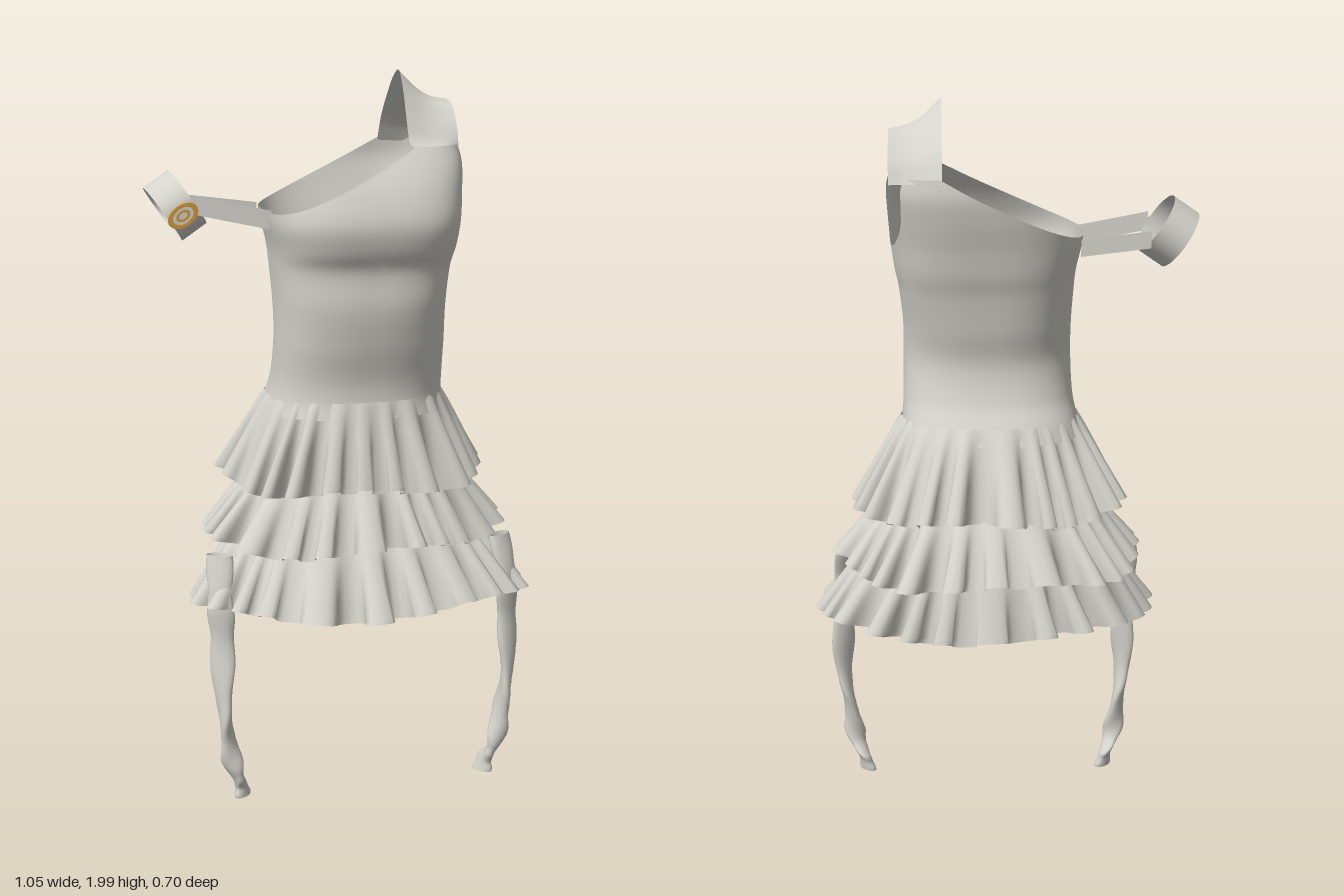
import * as THREE from 'three';

const fabric = new THREE.MeshStandardMaterial({ color: 0xd4d3cb, side: THREE.DoubleSide });
fabric.name = 'pale grey fabric';
const gold = new THREE.MeshStandardMaterial({ color: 0xd09a3c });
gold.name = 'gold metal';

const { lerp, clamp, smoothstep } = THREE.MathUtils;

// Smooth surface from a rule fn(u, v) -> [x, y, z]; closed wraps around in u
function surface(name, nu, nv, closed, fn) {
  const pos = [], idx = [], cols = closed ? nu : nu + 1;
  for (let j = 0; j <= nv; j++)
    for (let i = 0; i < cols; i++) pos.push(...fn(i / nu, j / nv));
  for (let j = 0; j < nv; j++)
    for (let i = 0; i < nu; i++) {
      const a = j * cols + i, b = j * cols + (i + 1) % cols, c = a + cols, d = b + cols;
      idx.push(a, c, b, b, c, d);
    }
  const g = new THREE.BufferGeometry();
  g.setAttribute('position', new THREE.Float32BufferAttribute(pos, 3));
  g.setIndex(idx);
  g.computeVertexNormals();
  const m = new THREE.Mesh(g, fabric);
  m.name = name;
  return m;
}

// Rounded horizontal section: s = [y, right x, left x, front z, back z]
function around(s, a, n, off = 0) {
  const p = (t) => Math.sign(t) * Math.abs(t) ** (2 / n);
  const c = p(Math.cos(a)), d = p(Math.sin(a));
  return [(s[1] + s[2]) / 2 + c * ((s[2] - s[1]) / 2 + off), s[0],
    (s[3] + s[4]) / 2 + d * ((s[3] - s[4]) / 2 + off)];
}

// Section at height y, smoothly interpolated between the listed ones
function sectionAt(list, y) {
  let k = 0;
  while (k < list.length - 2 && y > list[k + 1][0]) k++;
  const at = (i) => list[clamp(i, 0, list.length - 1)];
  const A = at(k - 1), B = at(k), C = at(k + 1), D = at(k + 2);
  const h = C[0] - B[0], t = clamp((y - B[0]) / h, 0, 1);
  return B.map((b, i) => {
    if (i === 0) return y;
    const m0 = (C[i] - A[i]) / (C[0] - A[0]) * h, m1 = (D[i] - b) / (D[0] - B[0]) * h;
    const t2 = t * t, t3 = t2 * t;
    return (2 * t3 - 3 * t2 + 1) * b + (t3 - 2 * t2 + t) * m0 + (3 * t2 - 2 * t3) * C[i] + (t3 - t2) * m1;
  });
}

const BODICE = [
  [1.10, -0.23, 0.275, 0.225, -0.185],
  [1.14, -0.217, 0.265, 0.217, -0.165],
  [1.20, -0.205, 0.262, 0.22, -0.13],
  [1.30, -0.20, 0.26, 0.245, -0.11],
  [1.40, -0.20, 0.26, 0.262, -0.13],
  [1.50, -0.205, 0.27, 0.262, -0.15],
  [1.55, -0.21, 0.28, 0.285, -0.165],
  [1.62, -0.225, 0.29, 0.298, -0.18],
  [1.70, -0.23, 0.30, 0.272, -0.20],
  [1.76, -0.23, 0.308, 0.235, -0.21],
  [1.81, -0.225, 0.305, 0.195, -0.205],
];
const LINING = [
  [0.60, -0.36, 0.42, 0.25, -0.19],
  [0.77, -0.28, 0.35, 0.18, -0.18],
  [0.93, -0.23, 0.29, 0.18, -0.19],
  [1.12, -0.205, 0.255, 0.20, -0.155],
];

// The bodice is oval at the waist and squarer at the chest
const bodicePoint = (a, y) => around(sectionAt(BODICE, y), a, lerp(2.4, 3.1, smoothstep(y, 1.3, 1.6)));

// Slanted neckline, cut short where the armhole opens on the model's left
function bodiceTop(a) {
  const t = clamp((bodicePoint(a, 1.72)[0] + 0.22) / 0.37, 0, 1);
  const neck = 1.645 + 0.165 * t ** 1.25;
  for (let y = 1.62; y < neck; y += 0.002) {
    const [x, , z] = bodicePoint(a, y);
    const half = 0.14 * (1 - (1 - (y - 1.62) / 0.19) ** 2) ** 0.42;
    if (x > 0.15 && Math.abs(z + 0.025) < half) return y;
  }
  return neck;
}

// Ruffled skirt tier between a gathered top section and a flared hem
function tier(name, top, hem, seed) {
  const N = 23;
  return surface(name, N * 12, 14, true, (u, v) => {
    const a = u * Math.PI * 2, s = 1 - v;
    const phi = N * a + 1.3 * Math.sin(3 * a + seed) + 0.9 * Math.sin(7 * a + 2 * seed);
    const amp = (0.029 + 0.013 * Math.sin(5 * a + seed * 3)) * (0.08 + 0.92 * s ** 1.25);
    const sec = hem.map((h, i) => lerp(h, top[i], i ? 1 - s ** 0.9 : v));
    const p = around(sec, a + (0.6 / N) * Math.sin(2 * phi) * s, 2.2, amp * Math.cos(phi));
    p[1] += s * (0.01 * Math.cos(phi) + 0.012 * Math.sin(4 * a + seed));
    return p;
  });
}

// Crumpled ribbon hanging along a path
function ribbon(name, pts, twist) {
  const path = new THREE.CatmullRomCurve3(pts.map((p) => new THREE.Vector3(...p)));
  return surface(name, 14, 70, true, (u, v) => {
    const c = path.getPoint(v), a = u * Math.PI * 2;
    const r = twist * (0.5 + smoothstep(v, 0.3, 1) * 5);
    const w = lerp(0.037, 0.028, smoothstep(v, 0.2, 0.7)) + 0.003 * Math.sin(v * 40);
    const p = Math.cos(a) * w, q = Math.sin(a) * 0.017;
    return [c.x + p * Math.cos(r) - q * Math.sin(r), c.y, c.z + p * Math.sin(r) + q * Math.cos(r)];
  });
}

// Flat oval ring or disc in the xy plane
function oval(name, rx, ry, hole, depth, mat) {
  const s = new THREE.Shape().absellipse(0, 0, rx, ry, 0, Math.PI * 2);
  if (hole) s.holes.push(new THREE.Path().absellipse(0, 0, rx * hole, ry * hole, 0, Math.PI * 2));
  const m = new THREE.Mesh(new THREE.ExtrudeGeometry(s, { depth, bevelEnabled: false, curveSegments: 24 }), mat);
  m.name = name;
  return m;
}

export function createModel() {
  const model = new THREE.Group();
  model.name = 'dress';

  model.add(surface('bodice', 240, 48, true, (u, v) => {
    const a = u * Math.PI * 2;
    return bodicePoint(a, lerp(1.1, bodiceTop(a), v));
  }));
  model.add(surface('lining', 72, 16, true, (u, v) =>
    around(sectionAt(LINING, lerp(0.6, 1.12, v)), u * Math.PI * 2, 2.2)));

  // Three ruffled tiers
  model.add(
    tier('upperTier', [1.145, -0.217, 0.267, 0.22, -0.168], [0.9, -0.32, 0.375, 0.265, -0.275], 1),
    tier('middleTier', [0.93, -0.25, 0.31, 0.20, -0.22], [0.74, -0.375, 0.43, 0.28, -0.32], 2.3),
    tier('lowerTier', [0.77, -0.30, 0.37, 0.20, -0.20], [0.57, -0.415, 0.495, 0.315, -0.25], 4.1),
  );

  // Shoulder strap: a band between an inner and an outer arch
  const arch = (x, pts) => new THREE.CatmullRomCurve3(pts.map(([z, y]) => new THREE.Vector3(x, y, z)));
  const inner = arch(0.15, [[0.195, 1.805], [0.135, 1.82], [0.1, 1.88], [0.06, 1.96], [0.02, 2.0],
    [-0.03, 1.985], [-0.1, 1.93], [-0.16, 1.87], [-0.203, 1.8]]);
  const outer = arch(0.288, [[0.12, 1.8], [0.115, 1.83], [0.095, 1.87], [0.055, 1.91], [0.0, 1.922],
    [-0.07, 1.915], [-0.12, 1.885], [-0.15, 1.85], [-0.168, 1.795]]);
  model.add(surface('shoulderStrap', 40, 8, false, (u, v) => {
    const p = inner.getPoint(u).lerp(outer.getPoint(u), v);
    p.y -= 0.02 * Math.sin(v * Math.PI) * Math.sin(u * Math.PI);
    return p.toArray();
  }));

  // Tilted arm cuff with an oval buckle
  const cuff = new THREE.Group();
  cuff.name = 'armCuff';
  cuff.position.set(-0.45, 1.652, -0.025);
  cuff.rotation.z = 0.6;
  cuff.add(surface('cuffBand', 56, 4, true, (u, v) => {
    const a = u * Math.PI * 2;
    return [lerp(0.04, -0.04, v), Math.cos(a) * 0.085, Math.sin(a) * 0.115];
  }));
  const buckle = new THREE.Group();
  buckle.name = 'buckle';
  buckle.position.set(-0.004, -0.012, 0.124);
  buckle.add(oval('buckleRing', 0.043, 0.028, 0.7, 0.012, gold),
    oval('buckleCentre', 0.031, 0.0203, 0, 0.007, fabric),
    oval('buckleInnerRing', 0.02, 0.013, 0.62, 0.01, gold));
  cuff.add(buckle);
  model.add(cuff);

  // Ribbons joining the cuff to the bodice
  const band = (name, a, b, h) => surface(name, 12, 2, false, (u, v) => [
    lerp(a[0], b[0], u), lerp(a[1], b[1], u) + (v - 0.5) * h, lerp(a[2], b[2], u)]);
  model.add(band('frontCuffStrap', [-0.41, 1.663, 0.085], [-0.215, 1.622, 0.11], 0.05),
    band('backCuffStrap', [-0.395, 1.645, -0.13], [-0.212, 1.622, -0.12], 0.045));

  // Long ribbons hanging from the skirt sides
  model.add(
    ribbon('rightRibbon', [[-0.37, 0.72, 0.12], [-0.375, 0.6, 0.145], [-0.37, 0.48, 0.14], [-0.372, 0.33, 0.15],
      [-0.36, 0.2, 0.145], [-0.345, 0.1, 0.15], [-0.325, 0.05, 0.13], [-0.318, 0.01, 0.13]], 1),
    ribbon('leftRibbon', [[0.43, 0.72, 0.11], [0.445, 0.6, 0.14], [0.45, 0.48, 0.135], [0.453, 0.33, 0.145],
      [0.435, 0.2, 0.145], [0.42, 0.1, 0.15], [0.397, 0.05, 0.13], [0.388, 0.01, 0.13]], -1),
  );
  return model;
}
